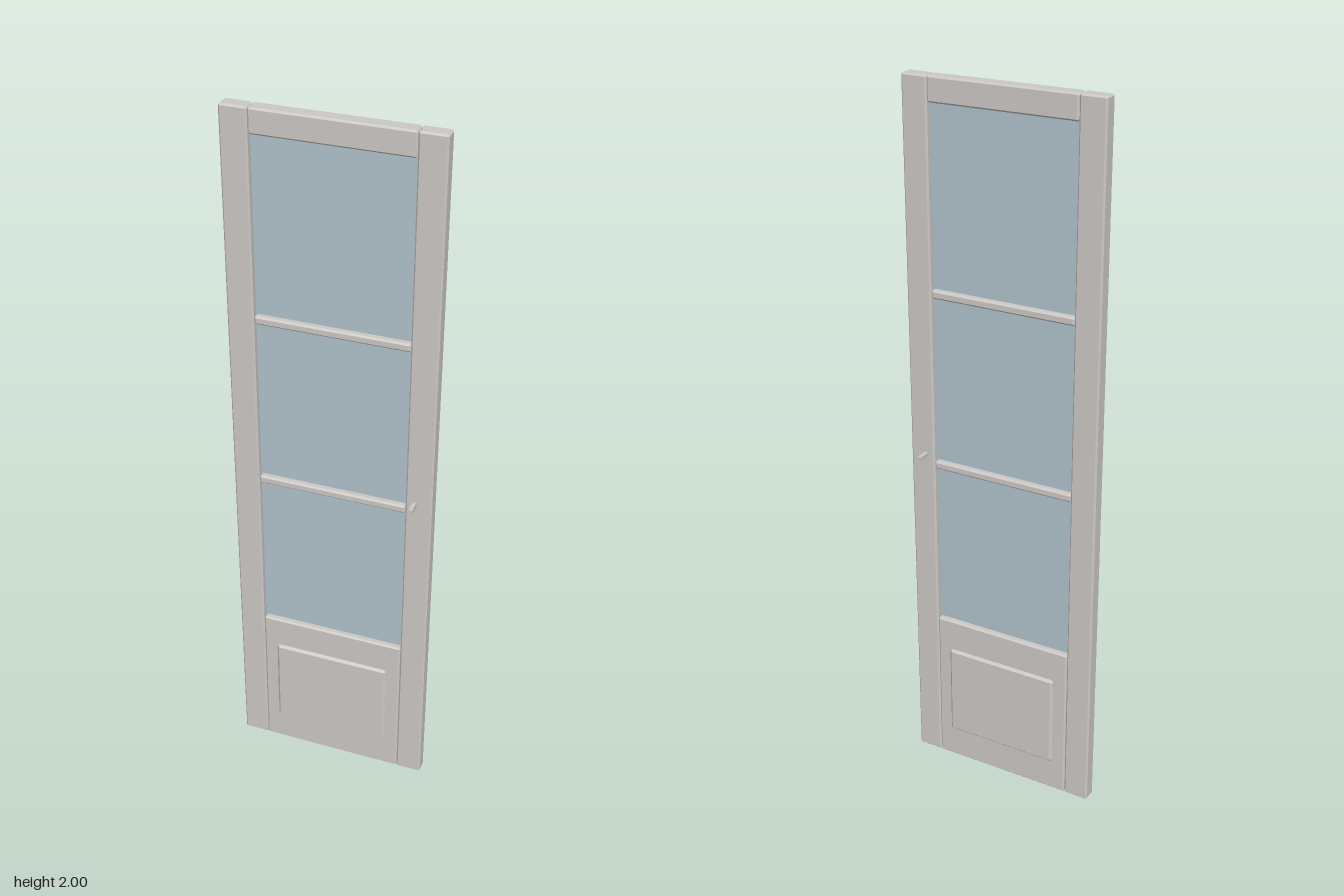
import * as THREE from 'three';
import { ConvexGeometry } from 'three/addons/geometries/ConvexGeometry.js';

// Box with every edge chamfered by c
function chamferedBox(w, h, d, c) {
  const points = [];
  for (const sx of [-1, 1]) for (const sy of [-1, 1]) for (const sz of [-1, 1]) {
    const x = w / 2, y = h / 2, z = d / 2;
    points.push(
      new THREE.Vector3(sx * x, sy * (y - c), sz * (z - c)),
      new THREE.Vector3(sx * (x - c), sy * y, sz * (z - c)),
      new THREE.Vector3(sx * (x - c), sy * (y - c), sz * z),
    );
  }
  return new ConvexGeometry(points);
}

export function createModel() {
  const door = new THREE.Group();
  door.name = 'door';

  const frameMaterial = new THREE.MeshStandardMaterial({ color: 0xcbc8c4 });
  frameMaterial.name = 'painted frame';
  const glassMaterial = new THREE.MeshStandardMaterial({ color: 0xb0c3cb });
  glassMaterial.name = 'pale blue glass';

  const depth = 0.041;
  const halfRail = 0.206;
  const chamfer = 0.0045;

  function add(name, geometry, material, x, y) {
    const mesh = new THREE.Mesh(geometry, material);
    mesh.name = name;
    mesh.position.set(x, y, 0);
    door.add(mesh);
  }

  // Upright stiles on both sides
  for (const [name, side] of [['leftStile', 1], ['rightStile', -1]]) {
    add(name, chamferedBox(0.072, 2, depth, chamfer), frameMaterial, side * 0.243, 1);
  }

  // Rails and glazing bars, from bottom to top
  const rails = [
    ['bottomRail', 0, 0.466],
    ['lowerGlazingBar', 0.942, 0.965],
    ['upperGlazingBar', 1.431, 1.454],
    ['topRail', 1.934, 2],
  ];
  for (const [name, y0, y1] of rails) {
    add(name, chamferedBox(halfRail * 2, y1 - y0, depth, chamfer), frameMaterial, 0, (y0 + y1) / 2);
  }

  // Glass panes between neighbouring rails
  for (let i = 0; i < rails.length - 1; i++) {
    const y0 = rails[i][2] - 0.006, y1 = rails[i + 1][1] + 0.006;
    const pane = new THREE.BoxGeometry(halfRail * 2, y1 - y0, 0.008);
    add('glassPane' + (i + 1), pane, glassMaterial, 0, (y0 + y1) / 2);
  }

  // Raised panel standing proud on both faces of the bottom rail
  add('raisedPanel', chamferedBox(0.334, 0.278, 0.056, 0.007), frameMaterial, 0, 0.234);

  // Square handle spindle through the left stile
  add('handle', new THREE.BoxGeometry(0.0115, 0.0115, 0.116), frameMaterial, 0.232, 0.98);

  return door;
}
